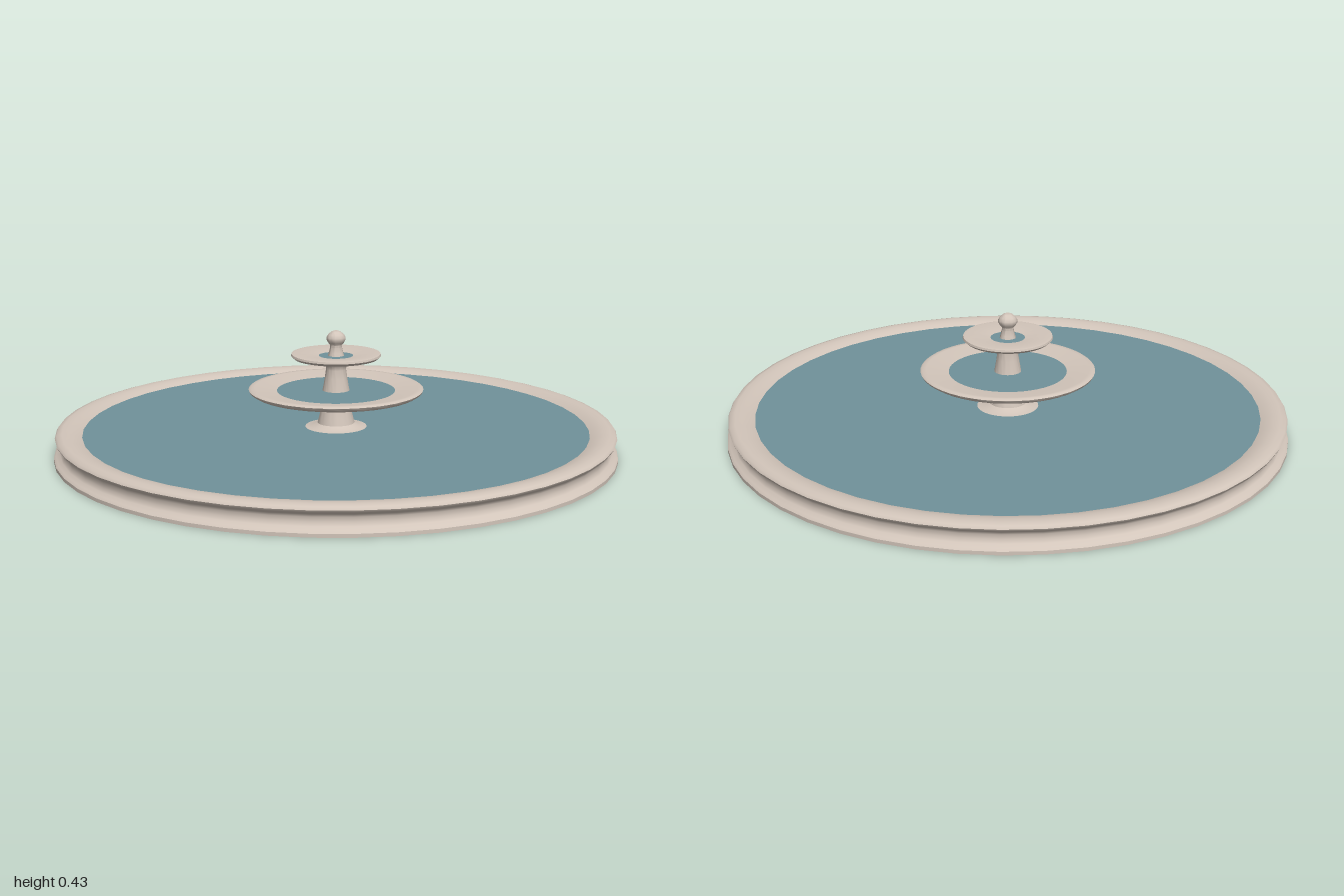
import * as THREE from 'three';
import { toCreasedNormals } from 'three/addons/utils/BufferGeometryUtils.js';

const SEGMENTS = 48;

export function createModel() {
  const model = new THREE.Group();
  model.name = 'fountain';

  const stone = new THREE.MeshStandardMaterial({ color: 0xd2c5ba, side: THREE.DoubleSide });
  stone.name = 'stone';
  const water = new THREE.MeshStandardMaterial({ color: 0x70929a });
  water.name = 'water';

  // Turned stone part from [radius, height] pairs
  function turned(name, profile) {
    const points = profile.map(([r, y]) => new THREE.Vector2(r, y));
    const geometry = toCreasedNormals(new THREE.LatheGeometry(points, SEGMENTS), 0.75);
    const mesh = new THREE.Mesh(geometry, stone);
    mesh.name = name;
    model.add(mesh);
  }

  // Flat sheet of water
  function pool(name, radius, y) {
    const mesh = new THREE.Mesh(new THREE.CircleGeometry(radius, SEGMENTS).rotateX(-Math.PI / 2), water);
    mesh.name = name;
    mesh.position.y = y;
    model.add(mesh);
  }

  // Hollow basin wall: foot, concave side, rounded lip, inner wall and floor
  turned('basin', [
    [1, 0], [1, 0.012], [0.992, 0.02], [0.978, 0.027], [0.972, 0.04], [0.972, 0.055],
    [0.976, 0.065], [0.99, 0.074], [0.994, 0.082], [0.988, 0.091], [0.97, 0.096],
    [0.945, 0.095], [0.92, 0.09], [0.9, 0.081], [0.9, 0.02], [0, 0.02],
  ]);
  pool('basinWater', 0.901, 0.081);

  // Flared pedestal and wide lower bowl
  turned('lowerTier', [
    [0.11, 0.02], [0.11, 0.081], [0.085, 0.085], [0.066, 0.095], [0.06, 0.12], [0.053, 0.15],
    [0.05, 0.166], [0.057, 0.177], [0.085, 0.183], [0.17, 0.19], [0.25, 0.197], [0.295, 0.204],
    [0.309, 0.213], [0.312, 0.22], [0.305, 0.225], [0.29, 0.225], [0.21, 0.213], [0, 0.2],
  ]);
  pool('lowerBowlWater', 0.211, 0.2135);

  // Upper column and small bowl
  turned('upperTier', [
    [0.05, 0.205], [0.046, 0.225], [0.04, 0.26], [0.036, 0.29], [0.037, 0.303], [0.046, 0.313],
    [0.075, 0.319], [0.125, 0.325], [0.15, 0.331], [0.16, 0.34], [0.158, 0.347], [0.148, 0.349],
    [0.06, 0.339], [0, 0.33],
  ]);
  pool('upperBowlWater', 0.061, 0.3395);

  // Finial with a slightly pointed ball
  turned('finial', [
    [0.03, 0.335], [0.026, 0.35], [0.021, 0.37], [0.021, 0.378], [0.028, 0.386], [0.034, 0.397],
    [0.034, 0.405], [0.028, 0.416], [0.017, 0.425], [0.008, 0.429], [0, 0.43],
  ]);

  return model;
}
